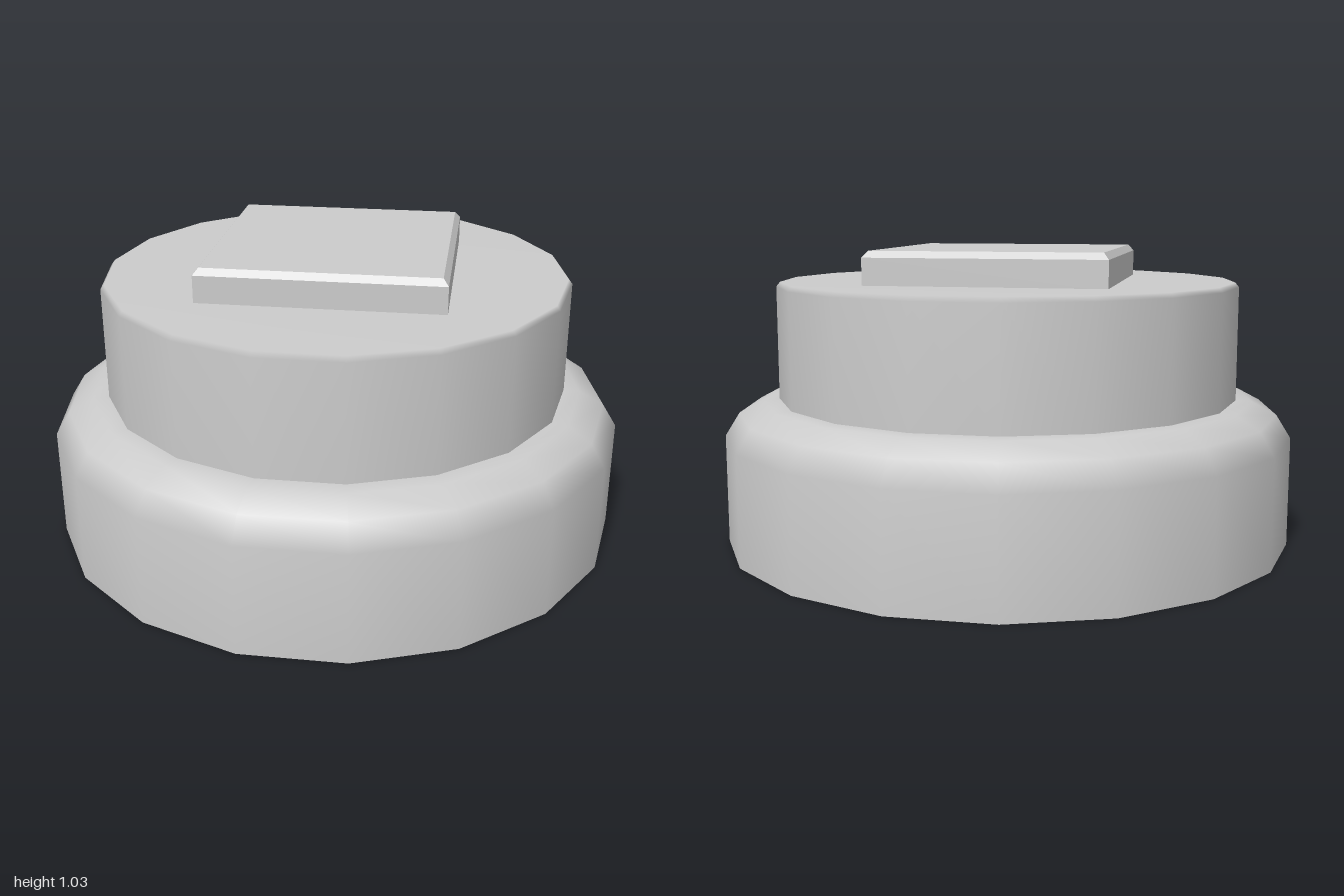
import * as THREE from 'three';

const SIDES = 18;

// Turned part from [radius, height] points, listed from bottom to top
function turned(name, profile, { sides = SIDES, start = Math.PI / 2, flat = false } = {}) {
  const points = profile.map(([r, y]) => new THREE.Vector2(r, y));
  const material = new THREE.MeshStandardMaterial({
    color: 0xcccccc, side: THREE.DoubleSide, flatShading: flat,
  });
  const mesh = new THREE.Mesh(new THREE.LatheGeometry(points, sides, start), material);
  mesh.name = name;
  return mesh;
}

export function createModel() {
  const group = new THREE.Group();
  group.name = 'steppedCap';

  // Hollow base skirt, open underneath, with a rounded shoulder
  group.add(turned('baseShell', [[1, 0], [1, 0.38], [0.95, 0.46], [0.865, 0.505], [0.81, 0.507]]));

  // Upper drum with a finely bevelled rim and a flat top
  group.add(turned('upperDrum', [[0.81, 0.505], [0.81, 0.9], [0.797, 0.916], [0, 0.916]]));

  // Floor of the drum, seen from inside the skirt
  group.add(turned('drumFloor', [[0, 0.52], [0.81, 0.52]]));

  // Square block on top, bevelled around its upper edge
  const k = Math.SQRT2;
  group.add(turned('squareBlock',
    [[0.408 * k, 0.91], [0.408 * k, 1.008], [0.39 * k, 1.03], [0, 1.03]],
    { sides: 4, start: Math.PI / 4, flat: true }));

  return group;
}
